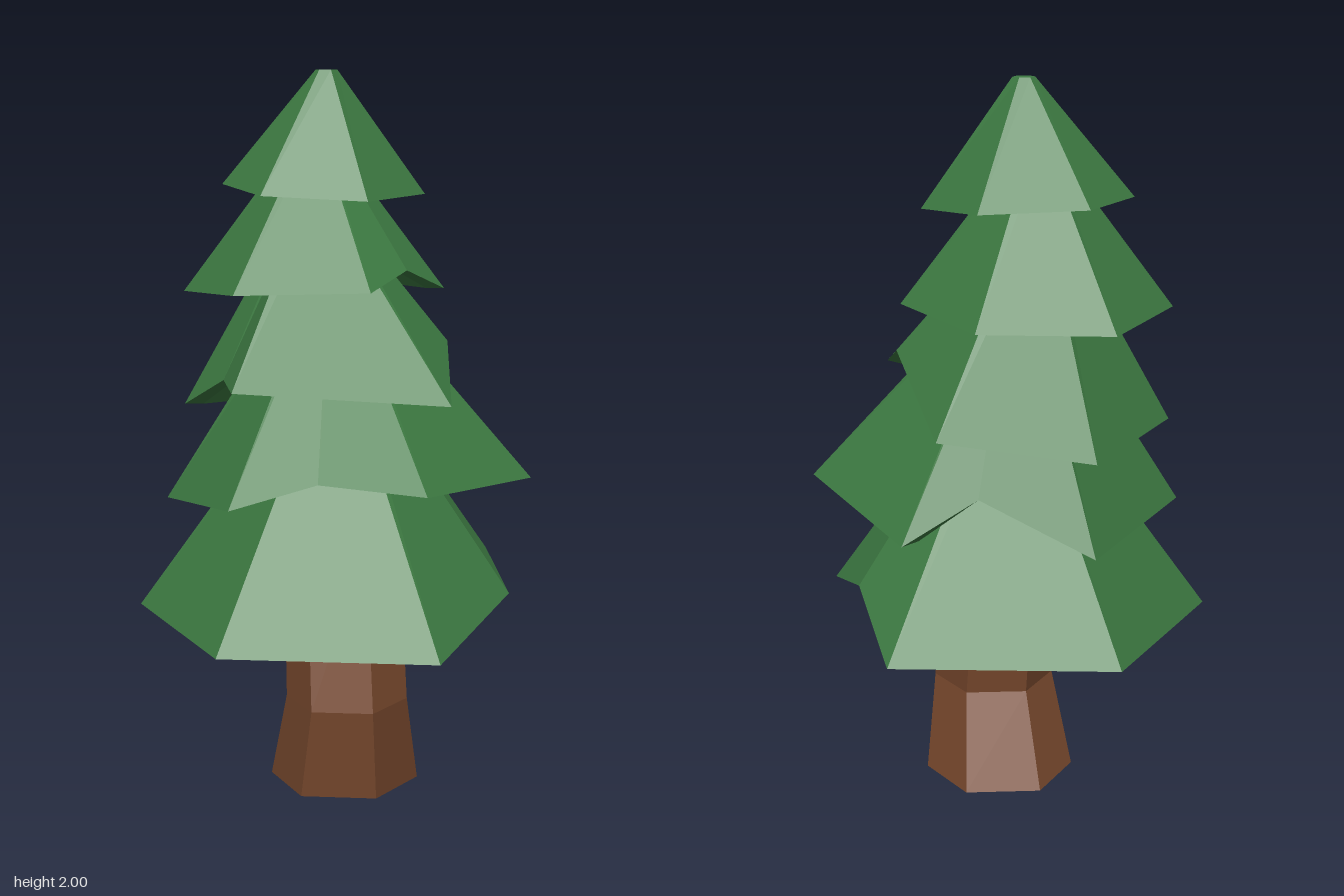
import * as THREE from 'three';

const green = new THREE.MeshStandardMaterial({ color: 0x3d7a42, flatShading: true });
const brown = new THREE.MeshStandardMaterial({ color: 0x7a4a2e, flatShading: true });

// Skin consecutive rings of [x, y, z] points, with optional fan caps on the first and last ring
function loft(rings, capStart, capEnd) {
  const pos = [];
  const tri = (a, b, c) => pos.push(...a, ...b, ...c);
  const n = rings[0].length;
  for (let r = 0; r < rings.length - 1; r++) {
    for (let i = 0; i < n; i++) {
      const j = (i + 1) % n, lo = rings[r], hi = rings[r + 1];
      tri(lo[i], lo[j], hi[j]);
      tri(lo[i], hi[j], hi[i]);
    }
  }
  const cap = (ring, up) => {
    const mid = [0, 1, 2].map(k => ring.reduce((s, p) => s + p[k], 0) / n);
    ring.forEach((p, i) => {
      const q = ring[(i + 1) % n];
      up ? tri(mid, p, q) : tri(mid, q, p);
    });
  };
  if (capStart) cap(rings[0], false);
  if (capEnd) cap(rings[rings.length - 1], true);
  const g = new THREE.BufferGeometry();
  g.setAttribute('position', new THREE.Float32BufferAttribute(pos, 3));
  g.computeVertexNormals();
  return g;
}

// Hexagon with corners on the z axis
function hexagon(x, y, z, radius) {
  return Array.from({ length: 6 }, (_, i) => {
    const a = i * Math.PI / 3;
    return [x + radius * Math.sin(a), y, z + radius * Math.cos(a)];
  });
}

// Each layer: crown centre and radius, then rim corners from the front round by +x.
// Extra raised corners form the notches.
const layers = [
  { name: 'bottomBranches', top: [0, 1.22, -0.05], r: 0.04, rim: [
    [0, 0.495, 0.585], [0.37, 0.57, 0.29], [0.44, 0.635, 0.03], [0.505, 0.495, -0.23],
    [0, 0.495, -0.585], [-0.505, 0.495, -0.295], [-0.505, 0.495, 0.29]] },
  { name: 'lowerBranches', top: [0, 1.48, -0.09], r: 0.04, rim: [
    [-0.01, 0.925, 0.525], [0.44, 0.89, 0.28], [0.45, 0.82, -0.22], [0.25, 0.93, -0.28],
    [0.02, 0.78, -0.49], [-0.435, 0.81, -0.25], [-0.45, 0.875, 0.25], [-0.23, 0.94, 0.33]] },
  { name: 'middleBranches', top: [-0.02, 1.66, -0.15], r: 0.04, rim: [
    [0.1, 1.14, 0.445], [0.27, 1.26, 0.1], [0.37, 1.1, -0.265], [0.02, 1.04, -0.49],
    [-0.36, 1.065, -0.3], [-0.32, 1.16, -0.1], [-0.385, 1.16, 0.12]] },
  { name: 'upperBranches', top: [-0.02, 1.84, -0.15], r: 0.03, rim: [
    [-0.03, 1.42, 0.23], [0.125, 1.465, 0.135], [0.285, 1.4, 0.05], [0.285, 1.385, -0.32],
    [-0.03, 1.375, -0.5], [-0.35, 1.385, -0.32], [-0.35, 1.41, 0.05]] },
  { name: 'topBranches', top: [0, 2, -0.115], r: 0.03, rim: [
    [0, 1.655, 0.15], [0.248, 1.66, 0], [0.248, 1.68, -0.275],
    [0, 1.69, -0.42], [-0.248, 1.685, -0.275], [-0.248, 1.668, 0]] },
];

// Thick hollow skirt: recessed ceiling, inner wall, flat rim, outer slopes, crown
function branchLayer({ name, top, r, rim }) {
  const [cx, cy, cz] = top;
  const lift = 0.16 * (cy - rim[0][1]);
  const scaled = (s, dy) => rim.map(([x, y, z]) => [cx + (x - cx) * s, y + dy, cz + (z - cz) * s]);
  const crown = rim.map(([x, , z]) => {
    const d = Math.hypot(x - cx, z - cz);
    return [cx + (x - cx) / d * r, cy, cz + (z - cz) / d * r];
  });
  const mesh = new THREE.Mesh(loft([scaled(0.68, lift), scaled(0.86, 0), rim, crown], true, true), green);
  mesh.name = name;
  return mesh;
}

export function createModel() {
  const tree = new THREE.Group();
  tree.name = 'pineTree';

  // Bent six-sided trunk
  const base = hexagon(0, 0, 0, 0.21);
  const trunk = new THREE.Mesh(loft([
    base,
    hexagon(-0.025, 0.26, 0.07, 0.17),
    hexagon(-0.005, 0.72, -0.01, 0.163),
  ], false, true), brown);
  trunk.name = 'trunk';
  tree.add(trunk);

  // Green underside of the trunk
  const foot = new THREE.Mesh(loft([base], true, false), green);
  foot.name = 'trunkBase';
  tree.add(foot);

  layers.forEach(layer => tree.add(branchLayer(layer)));
  return tree;
}
